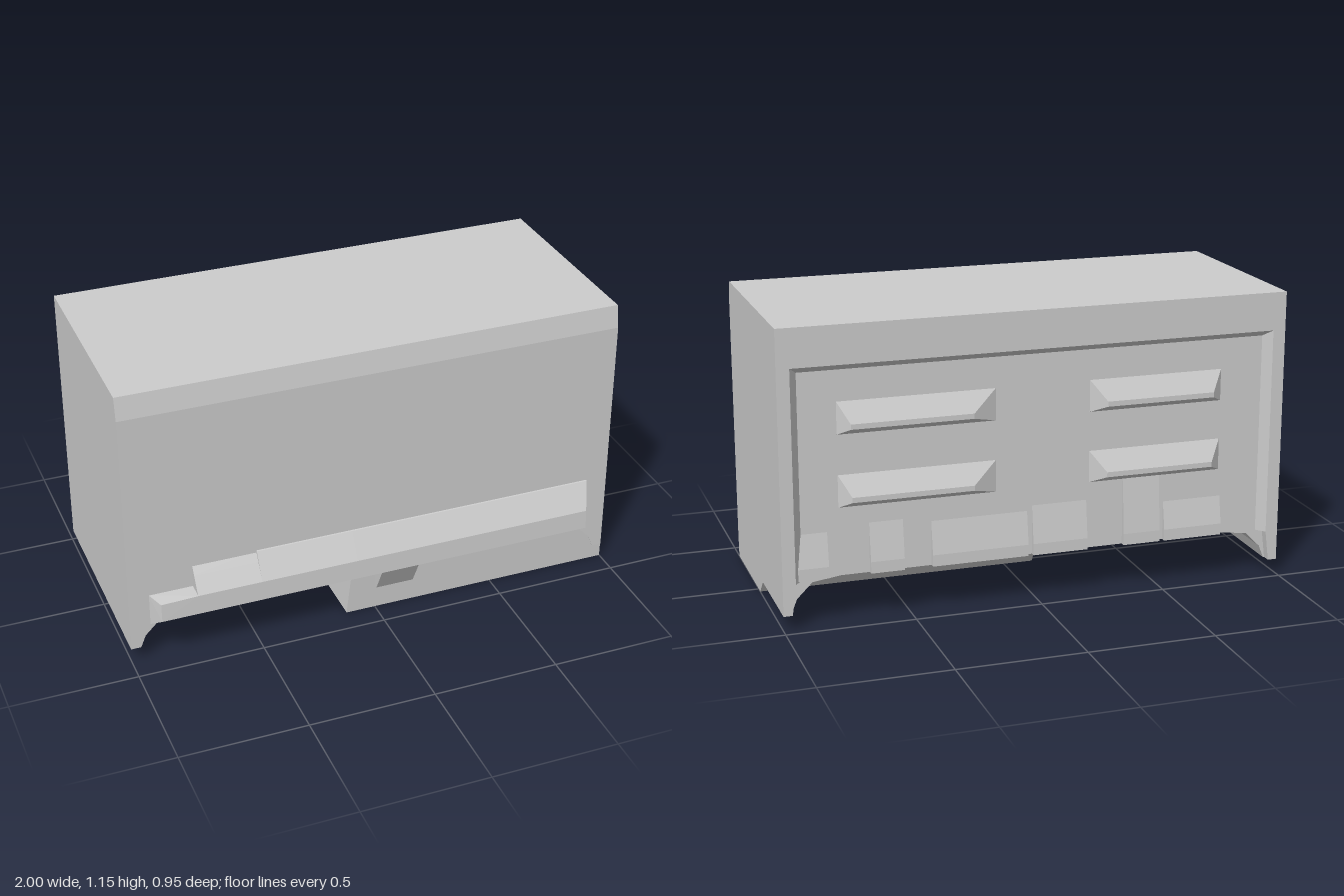
import * as THREE from 'three';
import { ConvexGeometry } from 'three/addons/geometries/ConvexGeometry.js';

const grey = new THREE.MeshStandardMaterial({ color: 0xcccccc, flatShading: true });

export function createModel() {
  const root = new THREE.Group();
  const add = (name, geometry) => {
    const mesh = new THREE.Mesh(geometry, grey);
    mesh.name = name;
    root.add(mesh);
  };
  const hull = (name, pts) => add(name, new ConvexGeometry(pts.map((p) => new THREE.Vector3(...p))));

  // Prism along x from a [z, y, right inset, left inset] profile
  const bar = (name, x0, x1, profile) =>
    hull(name, profile.flatMap(([z, y, in0 = 0, in1 = 0]) => [[x0 + in0, y, z], [x1 - in1, y, z]]));

  // Outline in x/y extruded between two z planes
  const slab = (name, outline, z0, z1) => {
    const shape = new THREE.Shape(outline.map((p) => new THREE.Vector2(...p)));
    const geometry = new THREE.ExtrudeGeometry(shape, { depth: z1 - z0, bevelEnabled: false });
    geometry.translate(0, 0, z0);
    add(name, geometry);
  };
  const mirrored = (half) => [...half, ...half.map(([x, y]) => [-x, y]).reverse()];

  // Casing with two hanging side skirts, and its chamfered lid
  const panelZ = -0.435;
  slab('casing', mirrored([
    [-1, 1.06], [-1, 0.06], [-0.96, 0.06], [-0.94, 0.11], [-0.88, 0.17], [-0.77, 0.185],
  ]), panelZ, 0.404);
  bar('lid', -1, 1, [[0.404, 1.06], [0.387, 1.15], [-0.47, 1.15], [-0.47, 1.06]]);

  // Raised frame around the recessed back panel, with bevelled inner edges
  slab('backFrame', mirrored([
    [-1, 1.06], [-1, 0.06], [-0.965, 0.06], [-0.95, 0.18], [-0.95, 1],
  ]), -0.47, panelZ);
  bar('frameTopBevel', -0.95, 0.95, [[-0.47, 1], [panelZ, 1], [panelZ, 0.975]]);
  for (const side of [-1, 1]) {
    hull('frameSideBevel', [0.18, 1].flatMap((y) => [
      [side * 0.95, y, -0.47], [side * 0.95, y, panelZ], [side * 0.92, y, panelZ],
    ]));
  }

  // Lower compartment under the left half
  hull('lowerCompartment', [
    [-0.12, 0, 0.4], [1, 0, 0.4], [-0.12, 0, -0.03], [1, 0, -0.03],
    [-0.11, 0.06, -0.09], [1, 0.06, -0.09], [-0.1, 0.19, -0.12], [1, 0.19, -0.12],
    [-0.1, 0.19, 0.404], [1, 0.19, 0.404],
  ]);
  hull('lowerLip', [0.36, 0.404].flatMap((z) => [[-0.21, 0.185, z], [-0.1, 0.185, z], [-0.1, 0.155, z]]));
  bar('compartmentCatch', -0.07, 0.1, [[-0.08, 0.07], [-0.17, 0.13], [-0.17, 0.19], [-0.08, 0.19]]);

  // Long front rail, shallower past the compartment and stepped down at the right end
  const railFace = [[0.468, 0.285], [0.473, 0.207]];
  bar('frontRail', -0.1, 0.91, [
    [0.4, 0.39], [0.41, 0.388], [0.468, 0.285, 0, 0.025], [0.473, 0.207, 0, 0.025], [0.4, 0.155],
  ]);
  bar('frontRail', -0.49, -0.1, [[0.4, 0.39], [0.41, 0.388], ...railFace, [0.4, 0.185]]);
  bar('railStep', -0.745, -0.49, [[0.4, 0.385], [0.425, 0.35], ...railFace, [0.4, 0.185]]);
  hull('railEnd', [
    [-0.92, 0.29, 0.4], [-0.745, 0.29, 0.4], [-0.89, 0.28, 0.468], [-0.745, 0.285, 0.468],
    [-0.89, 0.207, 0.473], [-0.745, 0.207, 0.473], [-0.92, 0.155, 0.4], [-0.745, 0.185, 0.4],
  ]);
  bar('latch', 0, 0.155, [[0.4, 0.207], [0.472, 0.207], [0.415, 0.1], [0.4, 0.1]]);

  // Four wedge-shaped louvres on the back panel: [right end, left end, ridge insets]
  for (const [x0, x1, in0, in1] of [[-0.75, -0.21, 0.045, 0.06], [0.165, 0.775, 0.095, 0.045]]) {
    for (const y of [0.73, 0.45]) {
      bar('backLouvre', x0, x1, [
        [panelZ, y + 0.125], [panelZ, y], [-0.474, y + 0.045, in0, in1], [-0.474, y + 0.025, in0, in1],
      ]);
    }
  }

  // Pads along the foot of the back panel, fading into it upwards: [x0, x1, top]
  for (const [x0, x1, top] of [
    [0.82, 0.95, 0.36], [0.53, 0.66, 0.38], [0.04, 0.42, 0.36],
    [-0.2, 0.02, 0.38], [-0.5, -0.35, 0.46], [-0.76, -0.52, 0.34],
  ]) {
    bar('backPad', x0, x1, [[panelZ, top], [-0.455, 0.23], [-0.455, 0.185], [panelZ, 0.185]]);
  }
  return root;
}
